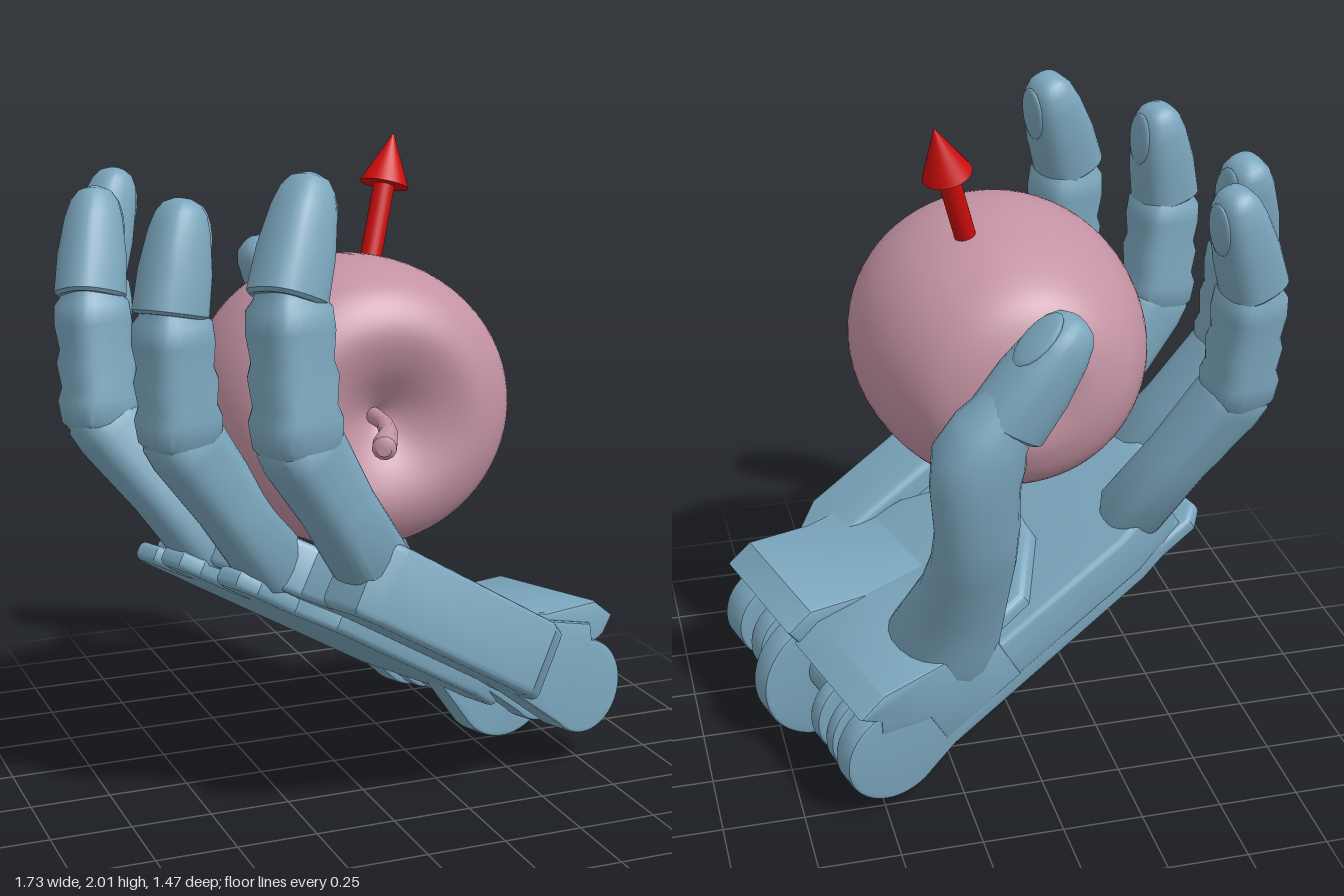
import * as THREE from 'three';
import { toCreasedNormals } from 'three/addons/utils/BufferGeometryUtils.js';

const V = (x, y, z) => new THREE.Vector3(x, y, z);
const steel = new THREE.MeshStandardMaterial({ color: 0x7ba6bd });
const pink = new THREE.MeshStandardMaterial({ color: 0xc493a3 });
const red = new THREE.MeshStandardMaterial({ color: 0xcc0c0c });

// Palm frame: along the hand, out of the palm, and across towards the thumb
const ALONG = V(-0.83, 0.513, 0.214).normalize();
const ACROSS = ALONG.clone().cross(V(0.479, 0.855, -0.197)).normalize();
const OUT = ACROSS.clone().cross(ALONG);
const SIDE = ACROSS.clone().negate();

function part(name, geometry, material, parent) {
  const mesh = new THREE.Mesh(geometry, material);
  mesh.name = name;
  parent.add(mesh);
  return mesh;
}

// Skin rounded-square sections [centre, half width, half depth] along a path
function loft(stations, power = 0.75, sides = 24) {
  const pos = [], index = [], last = stations.length - 1;
  stations.forEach(([c, a, b], k) => {
    const d = stations[Math.min(k + 1, last)][0].clone()
      .sub(stations[Math.max(k - 1, 0)][0]).normalize();
    const s = SIDE.clone().addScaledVector(d, -SIDE.dot(d)).normalize();
    const up = d.clone().cross(s);
    for (let i = 0; i < sides; i++) {
      const t = (i / sides) * Math.PI * 2, co = Math.cos(t), si = Math.sin(t);
      const p = c.clone()
        .addScaledVector(s, a * Math.sign(co) * Math.abs(co) ** power)
        .addScaledVector(up, b * Math.sign(si) * Math.abs(si) ** power);
      pos.push(p.x, p.y, p.z);
    }
  });
  const start = pos.length / 3;
  for (const k of [0, last]) pos.push(...stations[k][0].toArray());
  for (let i = 0; i < sides; i++) {
    const j = (i + 1) % sides;
    for (let k = 0; k < last; k++) {
      const a = k * sides, b = a + sides;
      index.push(a + i, a + j, b + j, a + i, b + j, b + i);
    }
    index.push(start, j, i, start + 1, last * sides + i, last * sides + j);
  }
  const g = new THREE.BufferGeometry();
  g.setAttribute('position', new THREE.Float32BufferAttribute(pos, 3));
  g.setIndex(index);
  return toCreasedNormals(g, 0.7);
}

// Straight finger bone: profile rows are [t, half width, half depth]
const bone = (a, b, rows, s, power) =>
  loft(rows.map(([t, w, d]) => [a.clone().lerp(b, t), w * s, d * s]), power);

const PROXIMAL = [[-0.16, 0.06, 0.06], [-0.04, 0.095, 0.095], [0.45, 0.09, 0.092],
  [0.9, 0.098, 0.104], [1.03, 0.093, 0.098], [1.1, 0.07, 0.07]];
const MIDDLE = [[-0.13, 0.075, 0.07], [-0.03, 0.097, 0.102], [0.15, 0.103, 0.108], [0.25, 0.097, 0.093],
  [0.45, 0.1, 0.103], [0.55, 0.095, 0.09], [0.75, 0.1, 0.1], [0.9, 0.096, 0.096], [0.97, 0.078, 0.078], [1.1, 0.072, 0.072]];
const TIP = [[-0.06, 0.085, 0.088], [-0.03, 0.094, 0.098], [0.35, 0.092, 0.093],
  [0.7, 0.08, 0.077], [0.87, 0.068, 0.062], [0.96, 0.05, 0.044], [1, 0.024, 0.02]];

// Small nail plate lying on the palm side of a finger tip
function addNail(a, b, s, parent) {
  const d = b.clone().sub(a).normalize();
  const w = SIDE.clone().addScaledVector(d, -SIDE.dot(d)).normalize();
  const up = d.clone().cross(w);
  const nail = part('nail', new THREE.SphereGeometry(1, 16, 10), steel, parent);
  nail.scale.set(0.05 * s, 0.014 * s, 0.085 * s);
  nail.quaternion.setFromRotationMatrix(new THREE.Matrix4().makeBasis(w, up, d));
  nail.rotateX(0.2);
  nail.position.copy(a).lerp(b, 0.7).addScaledVector(up, 0.07 * s);
}

function addFinger(name, [base, mid, end, tip], s, parent) {
  const g = new THREE.Group();
  g.name = name;
  part('proximalBone', bone(base, mid, PROXIMAL, s, 0.65), steel, g);
  part('middleBone', bone(mid, end, MIDDLE, s, 0.6), steel, g);
  part('fingerTip', bone(end, tip, TIP, s, 0.75), steel, g);
  addNail(end, tip, s, g);
  parent.add(g);
}

// Plate drawn as [along, towards the front], raised out of the palm from a base level
function plate(points, height, level = 0, bevel = 0.02) {
  const g = new THREE.ExtrudeGeometry(new THREE.Shape(points.map(p => new THREE.Vector2(...p))), {
    depth: height - 2 * bevel, bevelSize: bevel, bevelThickness: bevel, bevelSegments: 3 });
  g.translate(0, 0, level + bevel).rotateX(-Math.PI / 2);
  return toCreasedNormals(g, 0.6);
}

// Side profile (along, out of palm) given thickness across the hand, centred on z
function slab(shape, z, width) {
  const bevel = 0.012;
  const g = new THREE.ExtrudeGeometry(shape, { depth: width - 2 * bevel, bevelSize: bevel,
    bevelThickness: bevel, bevelSegments: 2, curveSegments: 24 });
  g.translate(0, 0, z - width / 2 + bevel);
  return toCreasedNormals(g, 0.6);
}

function buildPalm() {
  const palm = new THREE.Group();
  palm.name = 'palm';
  palm.applyMatrix4(new THREE.Matrix4().makeBasis(ALONG, OUT, ACROSS).setPosition(0.6, 0.106, -0.08));
  part('palmBody', plate([[0.22, -0.44], [0.22, 0.4], [0.38, 0.5], [1.06, 0.47], [1.13, 0.26],
    [1.24, 0.2], [1.25, 0.06], [1.28, -0.02], [1.28, -0.18], [1.2, -0.26], [1.18, -0.41], [1.0, -0.45]], 0.16), steel, palm);
  part('palmBack', plate([[0.2, -0.44], [0.2, 0.2], [0.4, 0.3], [1.0, 0.3], [1.1, 0.2],
    [1.2, -0.2], [1.18, -0.41], [1.0, -0.44]], 0.1, -0.05), steel, palm);
  part('indexPlate', plate([[0.3, 0.33], [0.3, 0.46], [0.4, 0.53], [1.06, 0.53], [1.11, 0.5],
    [1.11, 0.38], [0.95, 0.33]], 0.24, 0, 0.025), steel, palm);
  part('palmPad', plate([[0.3, -0.4], [0.3, 0.35], [0.6, 0.28], [0.85, 0.1], [0.8, -0.2], [0.65, -0.38]], 0.21, 0, 0.03), steel, palm);

  // Thin rounded tabs under the knuckles: [reach, towards the front]
  for (const [u, v] of [[1.25, 0.13], [1.3, -0.1], [1.22, -0.35]]) {
    part('knuckleTab', plate([[1, v - 0.075], [u, v - 0.075], [u + 0.04, v - 0.04],
      [u + 0.04, v + 0.04], [u, v + 0.075], [1, v + 0.075]], 0.06, -0.05), steel, palm);
  }

  // Raised lip above the wrist hinge, higher on the front half
  const lip = top => new THREE.Shape([[0.5, 0.02], [0.5, 0.2], [0.32, 0.26], [0.14, top], [0.06, top - 0.01],
    [0.065, 0.3], [0.1, 0.25], [0.08, 0.21], [0.22, 0.13], [0.22, 0.02]].map(p => new THREE.Vector2(...p)));
  part('frontWristLip', slab(lip(0.365), -0.2, 0.46), steel, palm);
  part('backWristLip', slab(lip(0.315), 0.24, 0.46), steel, palm);

  // Hinge ribs with round noses: [across, width, radius, nose height]
  const ribs = [[-0.39, 0.12, 0.14, 0.115], [-0.22, 0.08, 0.14, 0.11], [-0.05, 0.09, 0.215, 0.09],
    [0.2, 0.06, 0.14, 0.1], [0.31, 0.05, 0.145, 0.1], [0.42, 0.09, 0.155, 0.1]];
  for (const [z, w, r, n] of ribs) {
    const rib = new THREE.Shape();
    rib.moveTo(0.45, 0.02).lineTo(0.45, 0.2).lineTo(0.15, 0.29);
    rib.absarc(0.065, n, r, 1.2, Math.PI * 1.6, false);
    part('wristRib', slab(rib, z, w), steel, palm);
  }
  const core = part('hingeCore', new THREE.CylinderGeometry(0.085, 0.085, 0.84, 32), steel, palm);
  core.rotation.x = Math.PI / 2;
  core.position.set(0.09, 0.11, 0);
  return palm;
}

export function createModel() {
  const model = new THREE.Group();
  model.name = 'handHoldingApple';
  const hand = new THREE.Group();
  hand.name = 'hand';
  model.add(hand);
  hand.add(buildPalm());

  addFinger('indexFinger', [V(-0.1, 0.84, 0.53), V(-0.35, 1.23, 0.615), V(-0.365, 1.64, 0.59), V(-0.265, 1.95, 0.5)], 1.1, hand);
  addFinger('middleFinger', [V(-0.32, 0.79, 0.31), V(-0.62, 1.22, 0.395), V(-0.64, 1.58, 0.4), V(-0.585, 1.88, 0.35)], 1.04, hand);
  addFinger('ringFinger', [V(-0.44, 0.79, 0.09), V(-0.74, 1.2, -0.01), V(-0.75, 1.57, -0.05), V(-0.7, 1.86, -0.155)], 1.02, hand);
  addFinger('littleFinger', [V(-0.36, 0.77, -0.22), V(-0.64, 1.2, -0.335), V(-0.65, 1.57, -0.39), V(-0.55, 1.88, -0.45)], 0.99, hand);

  // Thumb: wide root, slim waist, bulging joint, separate tip; rows are [x, y, z, half width, half depth]
  const thumb = new THREE.Group();
  thumb.name = 'thumb';
  hand.add(thumb);
  const shaft = [[0.28, 0.3, -0.26, 0.15, 0.15], [0.275, 0.42, -0.31, 0.18, 0.17], [0.255, 0.54, -0.37, 0.155, 0.15],
    [0.235, 0.7, -0.46, 0.122, 0.135], [0.228, 0.86, -0.555, 0.106, 0.128], [0.228, 0.98, -0.6, 0.104, 0.125],
    [0.235, 1.13, -0.61, 0.11, 0.132], [0.225, 1.22, -0.615, 0.121, 0.138], [0.19, 1.29, -0.615, 0.108, 0.115],
    [0.13, 1.37, -0.615, 0.085, 0.085]];
  part('thumbShaft', loft(shaft.map(([x, y, z, a, b]) => [V(x, y, z), a, b]), 0.9), steel, thumb);
  const joint = V(0.135, 1.325, -0.605), end = V(-0.06, 1.61, -0.61);
  part('thumbTip', bone(joint, end, TIP, 1.13), steel, thumb);
  addNail(joint, end, 1.13, thumb);

  // Apple lying on its side, deep dimple at the stem and a shallow one behind
  const profile = [[0, -0.3], [0.03, -0.315], [0.1, -0.333], [0.2, -0.325], [0.32, -0.255], [0.415, -0.08],
    [0.455, 0.13], [0.445, 0.31], [0.39, 0.44], [0.28, 0.505], [0.17, 0.485], [0.06, 0.42], [0, 0.38]];
  const curve = new THREE.SplineCurve(profile.map(p => new THREE.Vector2(...p)));
  const points = curve.getPoints(60).map(p => new THREE.Vector2(Math.max(p.x, 0), p.y));
  const apple = part('apple', new THREE.LatheGeometry(points, 64), pink, model);
  apple.rotation.x = Math.PI / 2;
  apple.scale.set(1.01, 1, 0.955);
  apple.position.set(-0.02, 1.233, 0);
  const stem = [[-0.03, 1.23, 0.37, 0.025], [-0.04, 1.23, 0.5, 0.024], [-0.07, 1.225, 0.6, 0.027],
    [-0.11, 1.215, 0.67, 0.035], [-0.125, 1.21, 0.7, 0.035], [-0.13, 1.21, 0.71, 0.022]];
  part('stem', loft(stem.map(([x, y, z, r]) => [V(x, y, z), r, r]), 1, 12), pink, model);

  // Arrow rising from the apple
  const tail = V(0.108, 1.62, 0.025), tip = V(0.22, 2.0, -0.06);
  const length = tail.distanceTo(tip), head = 0.165;
  const arrow = new THREE.Group();
  arrow.name = 'arrow';
  arrow.position.copy(tail);
  arrow.quaternion.setFromUnitVectors(V(0, 1, 0), tip.clone().sub(tail).normalize());
  part('arrowShaft', new THREE.CylinderGeometry(0.033, 0.033, length - head, 24), red, arrow)
    .position.y = (length - head) / 2;
  part('arrowHead', new THREE.ConeGeometry(0.076, head, 32), red, arrow).position.y = length - head / 2;
  model.add(arrow);
  return model;
}
